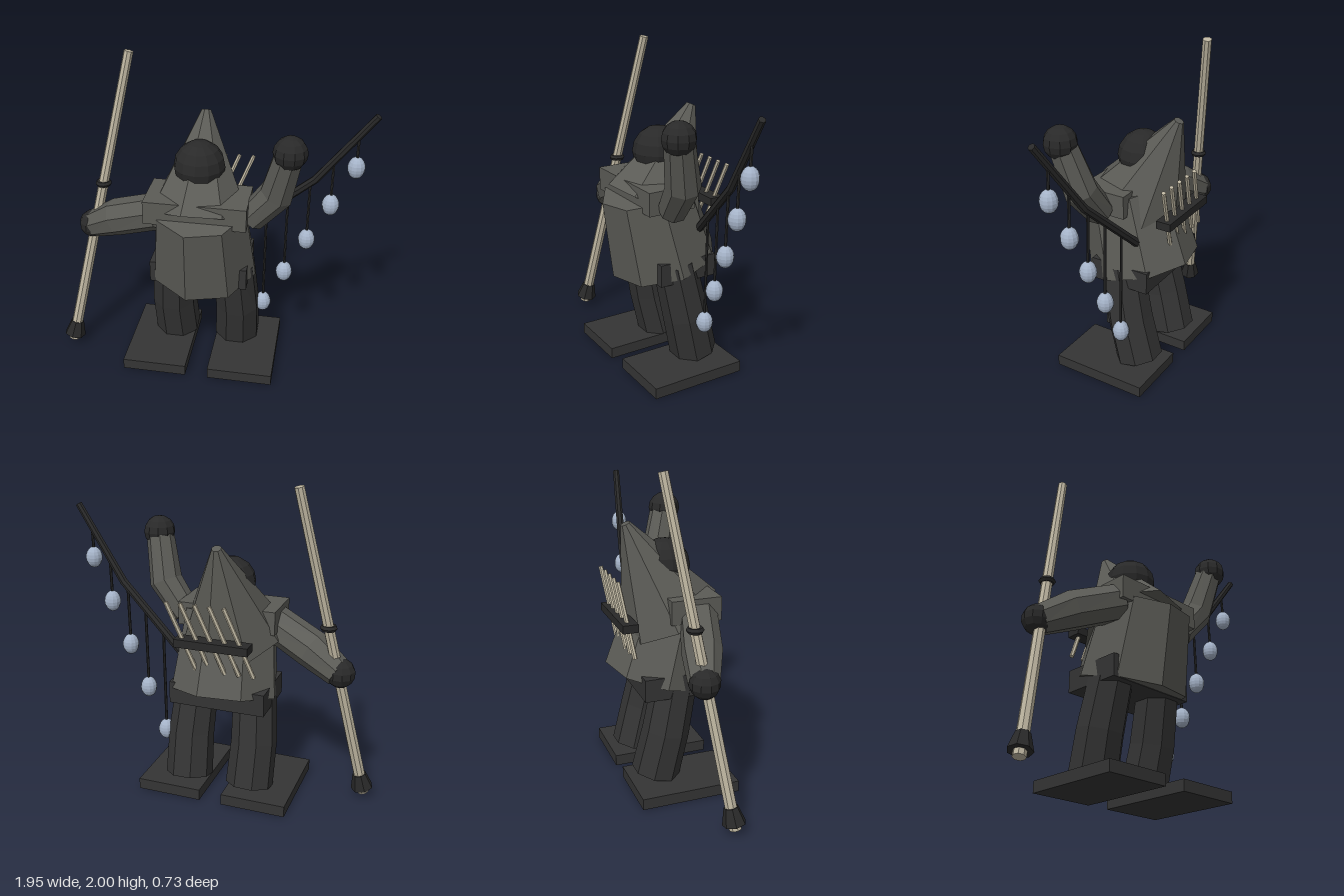
import * as THREE from 'three';

const V = (x, y, z) => new THREE.Vector3(x, y, z);
const mat = (name, color) => {
  const m = new THREE.MeshStandardMaterial({ color });
  m.name = name;
  return m;
};

// Faceted normals for the low-poly look
function facet(geo) {
  const g = geo.index ? geo.toNonIndexed() : geo;
  g.computeVertexNormals();
  return g;
}

// Polygonal limb lofted through joints, with a radius at each joint and capped ends
function limbGeometry(points, radii, sides, hint = V(0, 0, 1)) {
  const pos = [], idx = [];
  const n = points.length;
  points.forEach((p, i) => {
    const t = points[Math.min(i + 1, n - 1)].clone().sub(points[Math.max(i - 1, 0)]).normalize();
    const u = hint.clone().addScaledVector(t, -hint.dot(t)).normalize();
    const w = t.clone().cross(u);
    for (let s = 0; s < sides; s++) {
      const a = ((s + 0.5) / sides) * Math.PI * 2;
      const q = p.clone().addScaledVector(u, Math.cos(a) * radii[i]).addScaledVector(w, Math.sin(a) * radii[i]);
      pos.push(q.x, q.y, q.z);
    }
  });
  for (let i = 0; i < n - 1; i++) {
    for (let s = 0; s < sides; s++) {
      const a = i * sides + s, b = i * sides + ((s + 1) % sides);
      idx.push(a, b, a + sides, b, b + sides, a + sides);
    }
  }
  for (let s = 1; s < sides - 1; s++) {
    const e = (n - 1) * sides;
    idx.push(0, s + 1, s, e, e + s, e + s + 1);
  }
  const g = new THREE.BufferGeometry();
  g.setAttribute('position', new THREE.Float32BufferAttribute(pos, 3));
  g.setIndex(idx);
  return g;
}

export function createModel() {
  const model = new THREE.Group();
  model.name = 'hoodedTraveller';
  const robe = mat('robeGrey', 0x5b5b56);
  const dark = mat('charcoal', 0x343434);
  const black = mat('softBlack', 0x292929);
  const wood = mat('paleWood', 0xbdb5a0);
  const glass = mat('lanternBlue', 0xa5b3c8);

  const add = (name, geo, material, at = V(0, 0, 0), parent = model) => {
    const m = new THREE.Mesh(facet(geo), material);
    m.name = name;
    m.position.copy(at);
    parent.add(m);
    return m;
  };
  const box = (name, material, x0, x1, y0, y1, z0, z1) =>
    add(name, new THREE.BoxGeometry(x1 - x0, y1 - y0, z1 - z0), material,
      V((x0 + x1) / 2, (y0 + y1) / 2, (z0 + z1) / 2));
  // Tapered rod between two points
  const rod = (name, material, a, b, ra, rb = ra, sides = 8) => {
    const d = b.clone().sub(a);
    const m = add(name, new THREE.CylinderGeometry(rb, ra, d.length(), sides), material,
      a.clone().add(b).multiplyScalar(0.5));
    m.quaternion.setFromUnitVectors(V(0, 1, 0), d.normalize());
    return m;
  };

  // Feet and legs
  box('rightFoot', dark, -0.505, -0.095, 0, 0.07, -0.305, 0.315);
  box('leftFoot', dark, 0.05, 0.465, 0, 0.07, -0.305, 0.315);
  for (const [name, s] of [['rightLeg', -1], ['leftLeg', 1]]) {
    const x = (d) => -0.02 + s * d;
    add(name, limbGeometry(
      [V(x(0.19), 0.72, 0.01), V(x(0.212), 0.36, -0.065), V(x(0.205), 0.085, -0.13)],
      [0.135, 0.145, 0.15], 8), dark);
  }
  box('hips', dark, -0.34, 0.27, 0.615, 0.755, -0.23, 0.16);

  // Tunic leaning forward, hood leaning back
  const tunic = add('tunic', new THREE.CylinderGeometry(0.29, 0.345, 0.5, 8, 1, false, -0.18), robe,
    V(-0.027, 0.91, 0.025));
  tunic.rotation.x = 0.245;
  box('shoulders', robe, -0.35, 0.27, 1.08, 1.225, -0.07, 0.24);
  const hood = add('hood', new THREE.CylinderGeometry(0.03, 0.32, 0.635, 8, 1, false, -0.18), robe,
    V(-0.05, 1.343, -0.115));
  hood.rotation.x = -0.436;
  add('face', new THREE.SphereGeometry(0.157, 12, 8), black, V(-0.05, 1.37, -0.01));

  // Arms and mitts
  add('rightArm', limbGeometry(
    [V(-0.28, 1.105, 0.12), V(-0.565, 0.985, 0.03), V(-0.74, 0.885, -0.03)],
    [0.115, 0.118, 0.09], 8), robe);
  add('rightHand', new THREE.SphereGeometry(0.09, 10, 7), black, V(-0.75, 0.885, -0.03));
  add('leftArm', limbGeometry(
    [V(0.28, 1.1, 0.09), V(0.43, 1.29, 0.115), V(0.49, 1.56, 0.18)],
    [0.09, 0.105, 0.088], 8, V(0, 0, 1)), robe);
  add('leftHand', new THREE.SphereGeometry(0.1, 10, 8), black, V(0.5, 1.59, 0.19));

  // Walking staff with ring and foot cap
  const foot = V(-0.91, 0.035, 0.105), tip = V(-0.5, 1.995, -0.18);
  const along = (t) => foot.clone().lerp(tip, t);
  rod('staff', wood, foot, tip, 0.037, 0.029);
  rod('staffCap', black, along(0.017), along(0.068), 0.07, 0.042, 7);
  const ring = add('staffRing', new THREE.TorusGeometry(0.032, 0.019, 6, 10), black, along(0.579));
  ring.rotation.x = Math.PI / 2;

  // Bent branch carrying five hanging lanterns
  const branch = [V(0.22, 0.92, -0.135), V(0.64, 1.31, -0.06), V(0.965, 1.765, 0.005)];
  add('branch', limbGeometry(branch, [0.027, 0.025, 0.021], 7), black);
  const branchAt = (x) => {
    const i = x < branch[1].x ? 0 : 1;
    const a = branch[i], b = branch[i + 1];
    return a.clone().lerp(b, (x - a.x) / (b.x - a.x));
  };
  for (let i = 0; i < 5; i++) {
    const x = 0.355 + i * 0.129;
    const ball = V(x, 0.355 + i * 0.27, -0.1 + i * 0.023);
    const top = branchAt(x);
    const lantern = new THREE.Group();
    lantern.name = 'lantern' + (i + 1);
    model.add(lantern);
    lantern.add(rod('string', black, V(x, ball.y + 0.05, ball.z), top, 0.009, 0.009, 6));
    add('globe', new THREE.SphereGeometry(0.052, 12, 10), glass, ball, lantern).scale.y = 1.3;
  }

  // Back rack with slanted sticks
  box('rackBar', black, -0.27, 0.19, 1.035, 1.085, -0.34, -0.245);
  for (let i = 0; i < 5; i++) {
    const x = -0.29 + i * 0.09;
    rod('stick' + (i + 1), wood, V(x, 0.88, -0.275), V(x + 0.17, 1.305, -0.322), 0.014, 0.014, 6);
  }
  return model;
}
